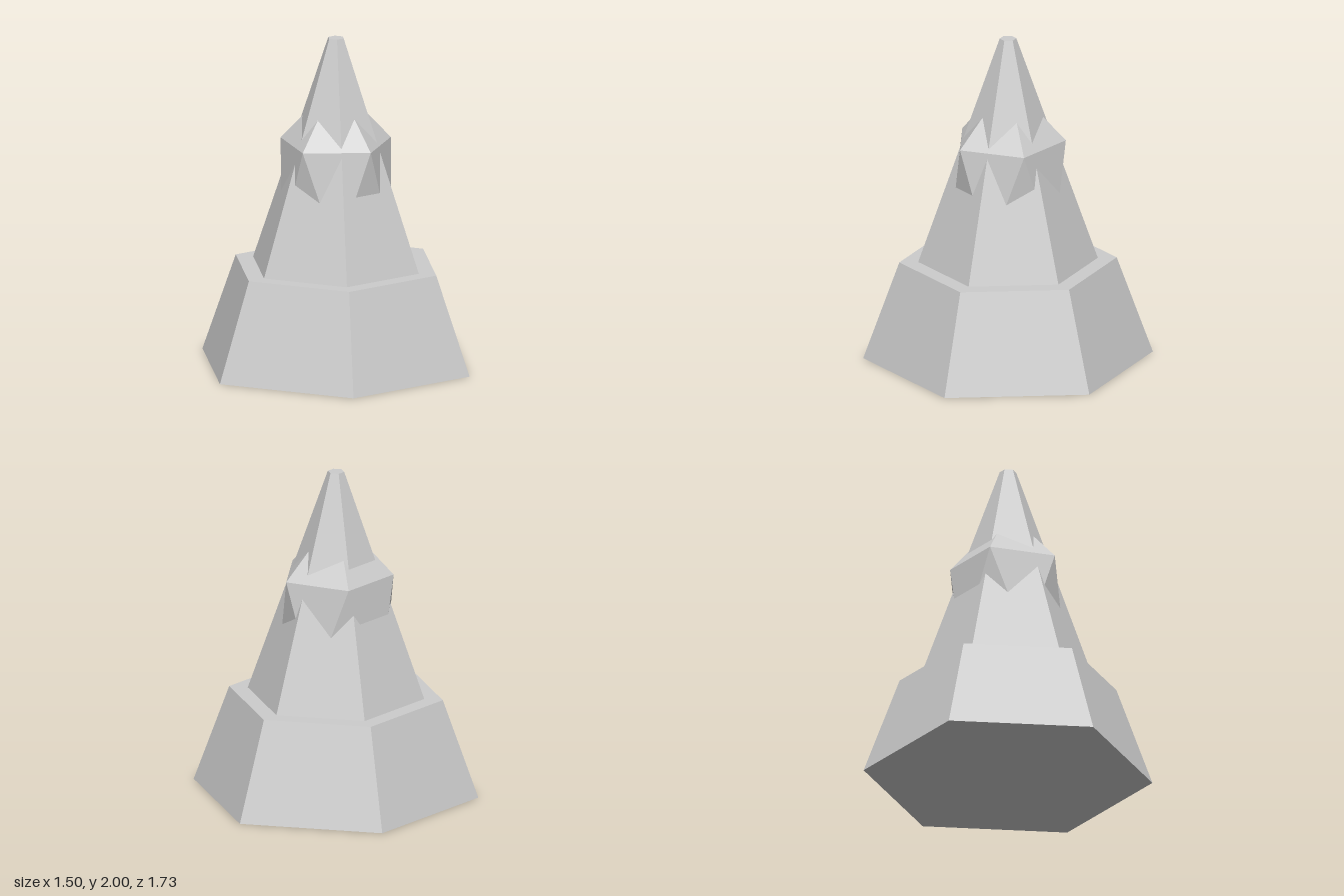
import * as THREE from 'three';

export function createModel() {
  const model = new THREE.Group();
  const stone = new THREE.MeshStandardMaterial({ color: 0xcccccc, flatShading: true });
  stone.name = 'light grey stone';

  const add = (name, geometry) => {
    const mesh = new THREE.Mesh(geometry, stone);
    mesh.name = name;
    model.add(mesh);
  };

  // Six-sided tapered block standing at height y, with a corner facing front
  const taperedHexagon = (top, bottom, height, y) =>
    new THREE.CylinderGeometry(top, bottom, height, 6).translate(0, y + height / 2, 0);

  add('base', taperedHexagon(0.65, 0.866, 0.6, 0));
  add('spire', taperedHexagon(0.05, 0.537, 1.4, 0.6));

  // Tall icosahedron sunk into the spire: one tip up, an upper corner towards +x
  const tilt = Math.atan(2 / (1 + Math.sqrt(5)));
  const collar = new THREE.IcosahedronGeometry(0.386, 0)
    .rotateZ(-tilt)
    .scale(1, 1.75, 1)
    .translate(0, 1.058, 0);
  add('spikedCollar', collar);

  return model;
}
